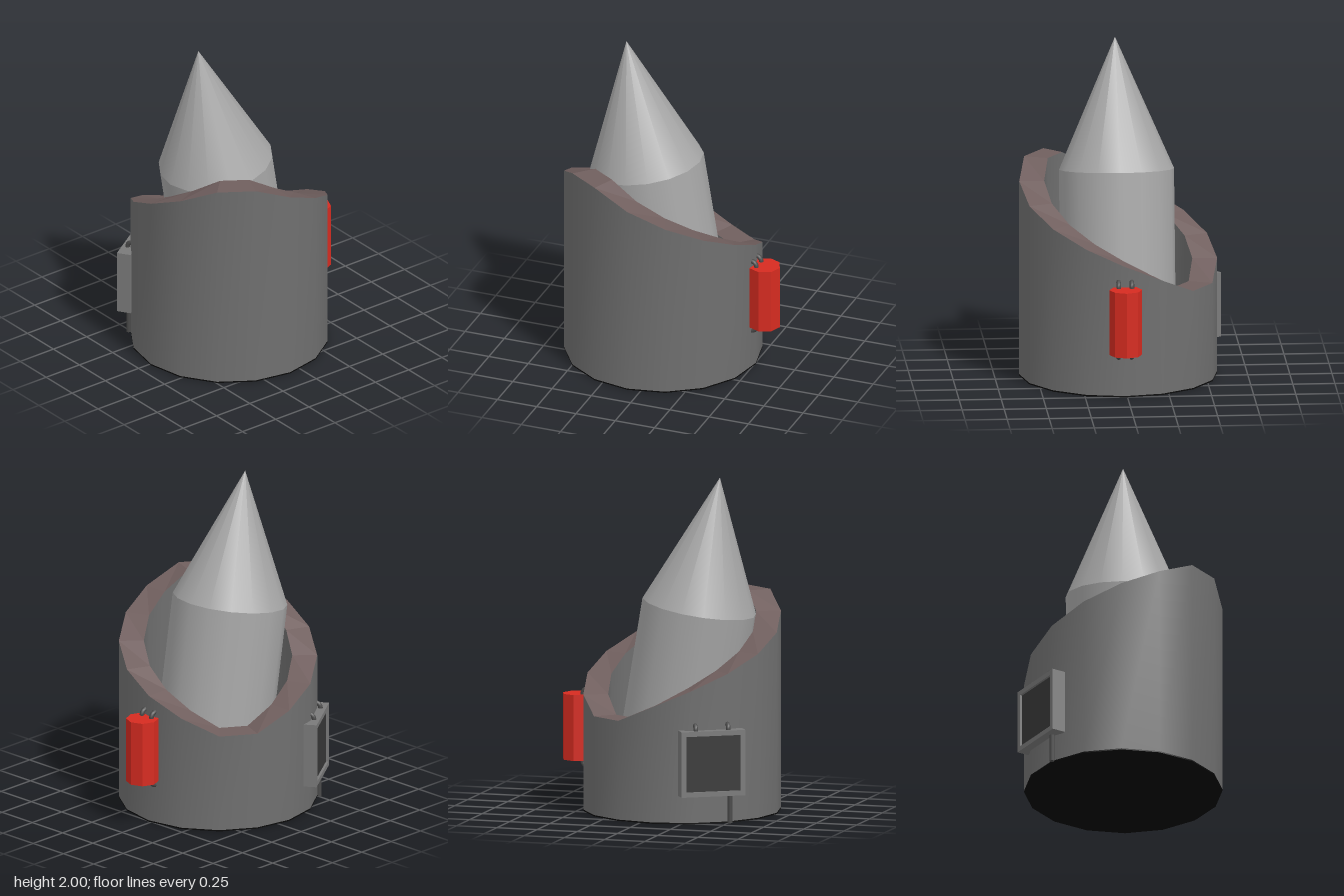
import * as THREE from 'three';

const SIDES = 16;
const mat = (name, color, extra = {}) =>
  Object.assign(new THREE.MeshStandardMaterial({ color, ...extra }), { name });

export function createModel() {
  const wallGrey = mat('wall grey', 0x6f6f6f);
  const rimBrown = mat('rim brown', 0x705f5e, { flatShading: true });
  const bodyGrey = mat('body grey', 0xa6a6a6);
  const red = mat('canister red', 0xd62b20, { flatShading: true });
  const pipeGrey = mat('pipe grey', 0x4a4a4a);
  const boxGrey = mat('box grey', 0x7a7a7a);
  const panelDark = mat('panel dark', 0x383838);
  const black = mat('floor black', 0x080808);

  const model = new THREE.Group();
  const add = (parent, name, geo, material, x = 0, y = 0, z = 0) => {
    const mesh = new THREE.Mesh(geo, material);
    mesh.name = name;
    mesh.position.set(x, y, z);
    parent.add(mesh);
    return mesh;
  };

  // Closed band between two rings, each given by radius and height per corner
  const band = (rA, yA, rB, yB) => {
    const pos = [], index = [];
    for (let i = 0; i < SIDES; i++) {
      const a = (i / SIDES) * Math.PI * 2, c = Math.cos(a), s = Math.sin(a);
      pos.push(rA * c, yA(i), rA * s, rB * c, yB(i), rB * s);
      const p = 2 * i, q = 2 * ((i + 1) % SIDES);
      index.push(p, p + 1, q, q, p + 1, q + 1);
    }
    const geo = new THREE.BufferGeometry();
    geo.setAttribute('position', new THREE.Float32BufferAttribute(pos, 3));
    geo.setIndex(index);
    geo.computeVertexNormals();
    return geo;
  };

  // Silo: the rim climbs in equal steps from the back left to the front right
  const silo = new THREE.Group();
  silo.name = 'silo';
  silo.position.set(-0.08, 0, 0.014);
  model.add(silo);
  const R = 0.588, r = 0.44;
  const rim = (i) => {
    const k = (i + 2) % SIDES;
    return 0.6 + 0.0975 * (k < 8 ? k : 15 - k);
  };
  const floor = () => 0.008;
  add(silo, 'outerWall', band(R, floor, R, rim), wallGrey);
  add(silo, 'rim', band(R, rim, r, rim), rimBrown);
  add(silo, 'innerWall', band(r, rim, r, floor), wallGrey);
  add(silo, 'floor', new THREE.CylinderGeometry(R, R, 0.008, SIDES), black, 0, 0.004, 0);

  // Leaning body with pointed nose, origin at the nose base
  const rocket = new THREE.Group();
  rocket.name = 'rocket';
  rocket.position.set(-0.185, 1.225, 0.017);
  rocket.rotation.z = 0.165;
  model.add(rocket);
  const bodyR = 0.342, noseH = 0.786, bodyH = 1.17;
  add(rocket, 'nose', new THREE.ConeGeometry(bodyR, noseH, SIDES, 1, true), bodyGrey, 0, noseH / 2, 0);
  add(rocket, 'body', new THREE.CylinderGeometry(bodyR, bodyR, bodyH, SIDES), bodyGrey, 0, -bodyH / 2, 0);

  // Thin braces between the body and the inner wall
  const brace = (a, b) => {
    const from = new THREE.Vector3(...a), to = new THREE.Vector3(...b);
    const dir = to.clone().sub(from);
    const mesh = add(model, 'brace', new THREE.CylinderGeometry(0.016, 0.016, dir.length(), 6), boxGrey);
    mesh.position.copy(from).add(to).multiplyScalar(0.5);
    mesh.quaternion.setFromUnitVectors(new THREE.Vector3(0, 1, 0), dir.normalize());
  };
  brace([-0.13, 0.5, -0.435], [0.0, 0.5, -0.315]);
  brace([0.27, 0.5, -0.045], [0.36, 0.5, 0.06]);

  // Bent pipe rising from a fitting and turning back into the wall
  const hook = (parent, x, y, z, up) => {
    const path = new THREE.CatmullRomCurve3([[-0.02, 0], [0.012, 0], [0.03, -0.015], [0.036, -0.06]]
      .map(([h, back]) => new THREE.Vector3(0, h * up, back)));
    add(parent, 'pipe', new THREE.TubeGeometry(path, 8, 0.014, 8), pipeGrey, x, y, z);
  };

  // Red canister, local +z pointing away from the wall
  const canister = new THREE.Group();
  canister.name = 'canister';
  canister.position.set(0.564, 0.472, 0.014);
  canister.rotation.y = Math.PI / 2;
  model.add(canister);
  add(canister, 'canisterBody', new THREE.CylinderGeometry(0.097, 0.097, 0.395, 8), red);
  for (const x of [-0.039, 0.039])
    for (const up of [-1, 1]) hook(canister, x, 0.1975 * up, -0.038, up);

  // Control box, origin at the centre of its outer face
  const box = new THREE.Group();
  box.name = 'controlBox';
  box.position.set(-0.44, 0.365, -0.502);
  box.rotation.y = Math.atan2(-0.546, -0.838);
  model.add(box);
  const square = (shape, h) => {
    shape.moveTo(-h, -h);
    shape.lineTo(h, -h);
    shape.lineTo(h, h);
    shape.lineTo(-h, h);
    shape.closePath();
    return shape;
  };
  const frame = square(new THREE.Shape(), 0.196);
  frame.holes.push(square(new THREE.Path(), 0.167));
  add(box, 'boxFrame', new THREE.ExtrudeGeometry(frame, { depth: 0.085, bevelEnabled: false }), boxGrey, 0, 0, -0.085);
  add(box, 'boxPanel', new THREE.BoxGeometry(0.336, 0.336, 0.07), panelDark, 0, 0, -0.049);
  for (const x of [-0.1, 0.1]) hook(box, x, 0.196, -0.035, 1);
  add(box, 'conduit', new THREE.CylinderGeometry(0.015, 0.015, 0.185, 8), pipeGrey, 0.114, -0.2725, -0.046);

  return model;
}
